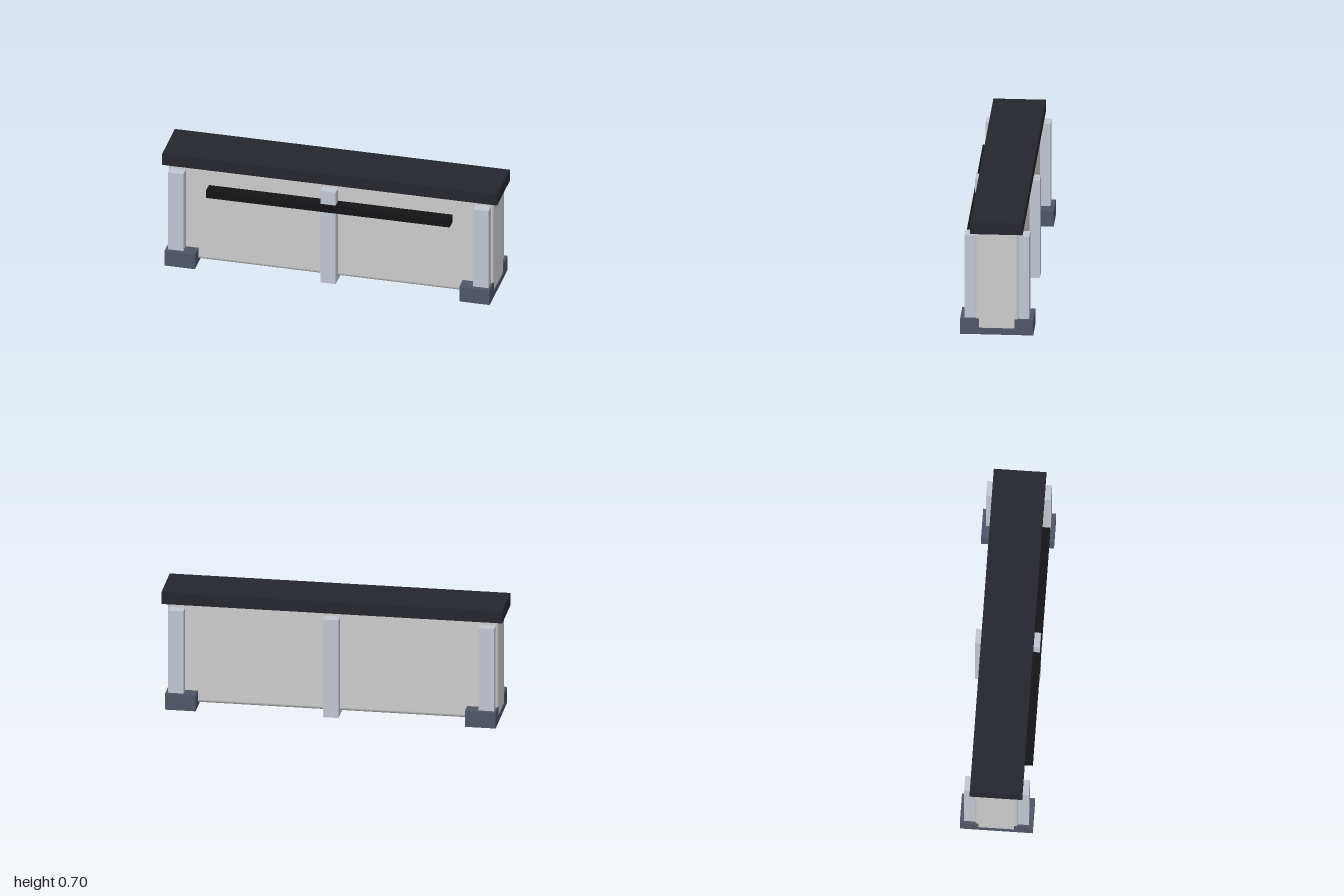
import * as THREE from 'three';
import { RoundedBoxGeometry } from 'three/addons/geometries/RoundedBoxGeometry.js';

const mat = (color) => new THREE.MeshStandardMaterial({ color });

// U-shaped section in the z-y plane, extruded along x and centred on x = 0
function uBracket(name, { width, outer, inner, bottom, floor, top }, material) {
  const shape = new THREE.Shape([
    [-outer, bottom], [outer, bottom], [outer, top], [inner, top],
    [inner, floor], [-inner, floor], [-inner, top], [-outer, top],
  ].map(([z, y]) => new THREE.Vector2(z, y)));
  const geometry = new THREE.ExtrudeGeometry(shape, { depth: width, bevelEnabled: false });
  geometry.translate(0, 0, -width / 2).rotateY(Math.PI / 2);
  const mesh = new THREE.Mesh(geometry, material);
  mesh.name = name;
  return mesh;
}

export function createModel() {
  const group = new THREE.Group();
  const lidMat = mat(0x25252e);
  const bodyMat = mat(0xd2d1d5);
  const bandMat = mat(0xc0c5d1);
  const footMat = mat(0x505566);
  const railMat = mat(0x141416);

  const add = (name, geometry, material, x, y, z) => {
    const mesh = new THREE.Mesh(geometry, material);
    mesh.name = name;
    mesh.position.set(x, y, z);
    group.add(mesh);
  };

  // Long container with softened edges, its top tucked into the lid
  add('body', new RoundedBoxGeometry(1.94, 0.63, 0.256, 2, 0.024), bodyMat, 0, 0.335, 0);

  // Overhanging slab lid
  add('lid', new THREE.BoxGeometry(2, 0.073, 0.305), lidMat, 0, 0.6685, 0);

  // Rail across the front
  add('frontRail', new THREE.BoxGeometry(1.454, 0.049, 0.075), railMat, 0, 0.4975, 0.158);

  // Three bands wrapping under the body and up both faces
  const band = { outer: 0.188, inner: 0.121, floor: 0.022, top: 0.607 };
  group.add(uBracket('centreBand', { ...band, width: 0.09, bottom: 0 }, bandMat));

  for (const side of [-1, 1]) {
    const label = side > 0 ? 'left' : 'right';
    const endBand = uBracket(label + 'Band', { ...band, width: 0.092, bottom: 0.002 }, bandMat);
    endBand.position.x = side * 0.911;
    // Cradle foot with raised front and back blocks
    const foot = uBracket(label + 'Foot',
      { width: 0.181, outer: 0.212, inner: 0.104, bottom: 0, floor: 0.04, top: 0.097 }, footMat);
    foot.position.x = side * 0.88;
    group.add(endBand, foot);
  }
  return group;
}
